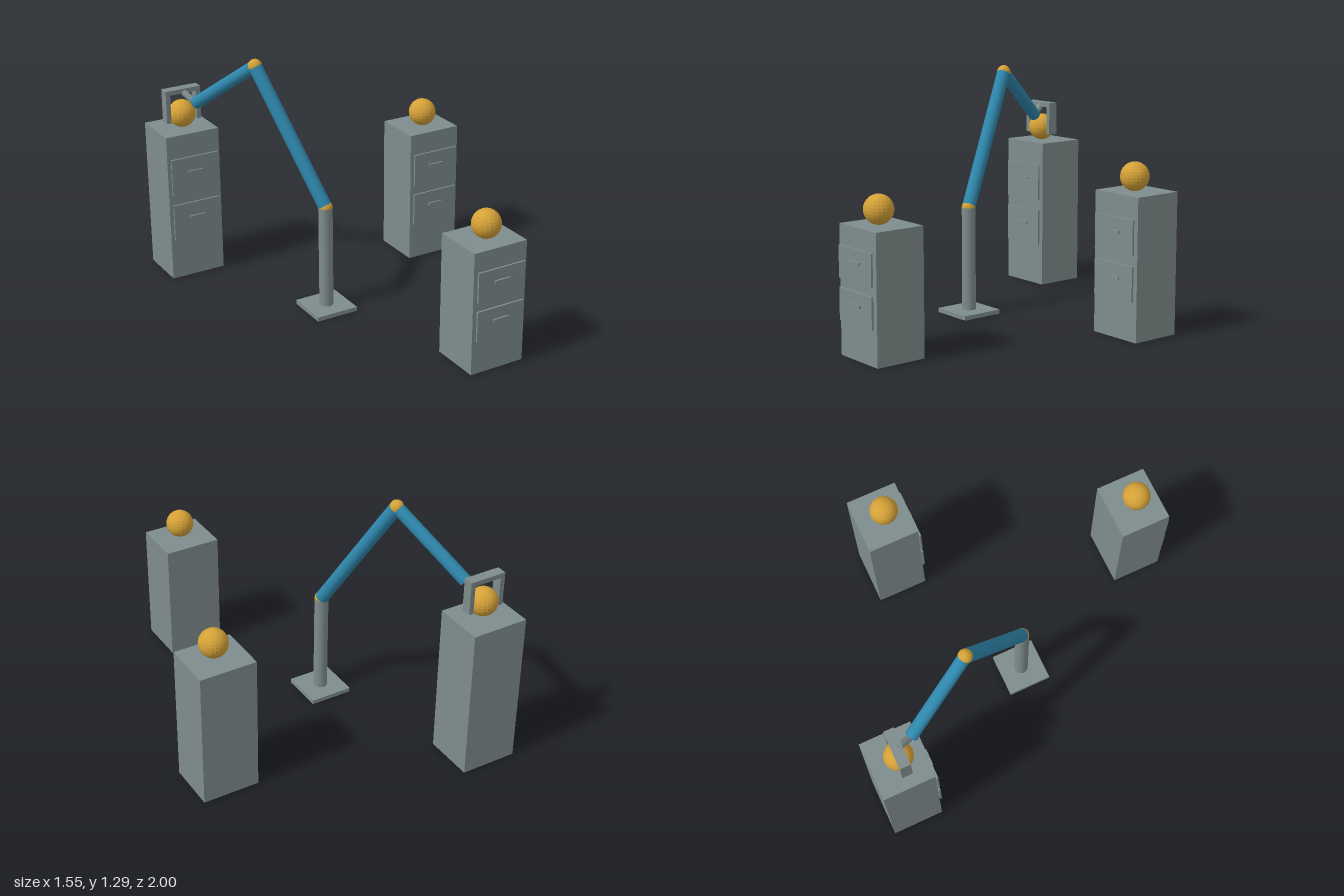
import * as THREE from 'three';

const grey = new THREE.MeshStandardMaterial({ color: 0x7f8c8d });
grey.name = 'grey metal';
const blue = new THREE.MeshStandardMaterial({ color: 0x2e86ab });
blue.name = 'blue arm';
const yellow = new THREE.MeshStandardMaterial({ color: 0xd4a137, flatShading: true });
yellow.name = 'golden yellow';

function add(parent, name, geometry, material, x = 0, y = 0, z = 0) {
  const mesh = new THREE.Mesh(geometry, material);
  mesh.name = name;
  mesh.position.set(x, y, z);
  parent.add(mesh);
  return mesh;
}

const box = (w, h, d) => new THREE.BoxGeometry(w, h, d);

// Cylinder running between two points
function rod(parent, name, a, b, radius, material) {
  const dir = b.clone().sub(a);
  const mesh = add(parent, name, new THREE.CylinderGeometry(radius, radius, dir.length(), 24), material);
  mesh.position.copy(a).add(b).multiplyScalar(0.5);
  mesh.quaternion.setFromUnitVectors(new THREE.Vector3(0, 1, 0), dir.normalize());
  return mesh;
}

// Cabinet with two drawers in front and a ball resting on top
function cabinet(x, z, height) {
  const g = new THREE.Group();
  g.name = 'cabinet';
  g.position.set(x, 0, z);
  const depth = 0.273, front = depth / 2;
  add(g, 'cabinetBody', box(0.305, height, depth), grey, 0, height / 2, 0);
  for (const level of [0.405, 0.723]) {
    const y = level * height;
    add(g, 'drawerFront', box(0.271, height * 0.248, 0.01), grey, 0, y, front + 0.013);
    add(g, 'drawerHandle', box(0.089, 0.0135, 0.01), grey, 0, y + height * 0.023, front + 0.022);
  }
  add(g, 'ball', new THREE.SphereGeometry(0.0745, 20, 14), yellow, 0, height + 0.0745, 0.0135);
  return g;
}

// Jointed arm ending in a two-finger gripper
function robotArm() {
  const g = new THREE.Group();
  g.name = 'robotArm';
  const foot = new THREE.Vector3(-0.228, 0.023, 0);
  const shoulder = new THREE.Vector3(-0.228, 0.577, 0);
  const elbow = new THREE.Vector3(-0.41, 1.257, -0.389);
  const wrist = new THREE.Vector3(-0.579, 0.975, -0.757);
  const palm = new THREE.Vector3(-0.622, 1.03, -0.847);

  add(g, 'basePlate', box(0.234, 0.023, 0.234), grey, foot.x, 0.0115, 0);
  rod(g, 'post', foot, shoulder, 0.037, grey);
  rod(g, 'upperArm', shoulder, elbow, 0.036, blue);
  rod(g, 'forearm', elbow, wrist, 0.033, blue);
  rod(g, 'wristRod', wrist, palm, 0.018, grey);
  for (const p of [shoulder, elbow])
    add(g, 'joint', new THREE.SphereGeometry(0.037, 20, 14), yellow, p.x, p.y, p.z);

  const gripper = new THREE.Group();
  gripper.name = 'gripper';
  gripper.position.copy(palm);
  add(gripper, 'gripperBar', box(0.2, 0.025, 0.055), grey);
  for (const side of [-1, 1])
    add(gripper, 'gripperFinger', box(0.025, 0.168, 0.055), grey, side * 0.0875, -0.084, 0);
  g.add(gripper);
  return g;
}

export function createModel() {
  const model = new THREE.Group();
  model.name = 'sortingStation';
  model.add(
    cabinet(-0.622, -0.8625, 0.823),
    cabinet(0.619, -0.406, 0.736),
    cabinet(0.168, 0.8365, 0.65),
    robotArm()
  );
  return model;
}
